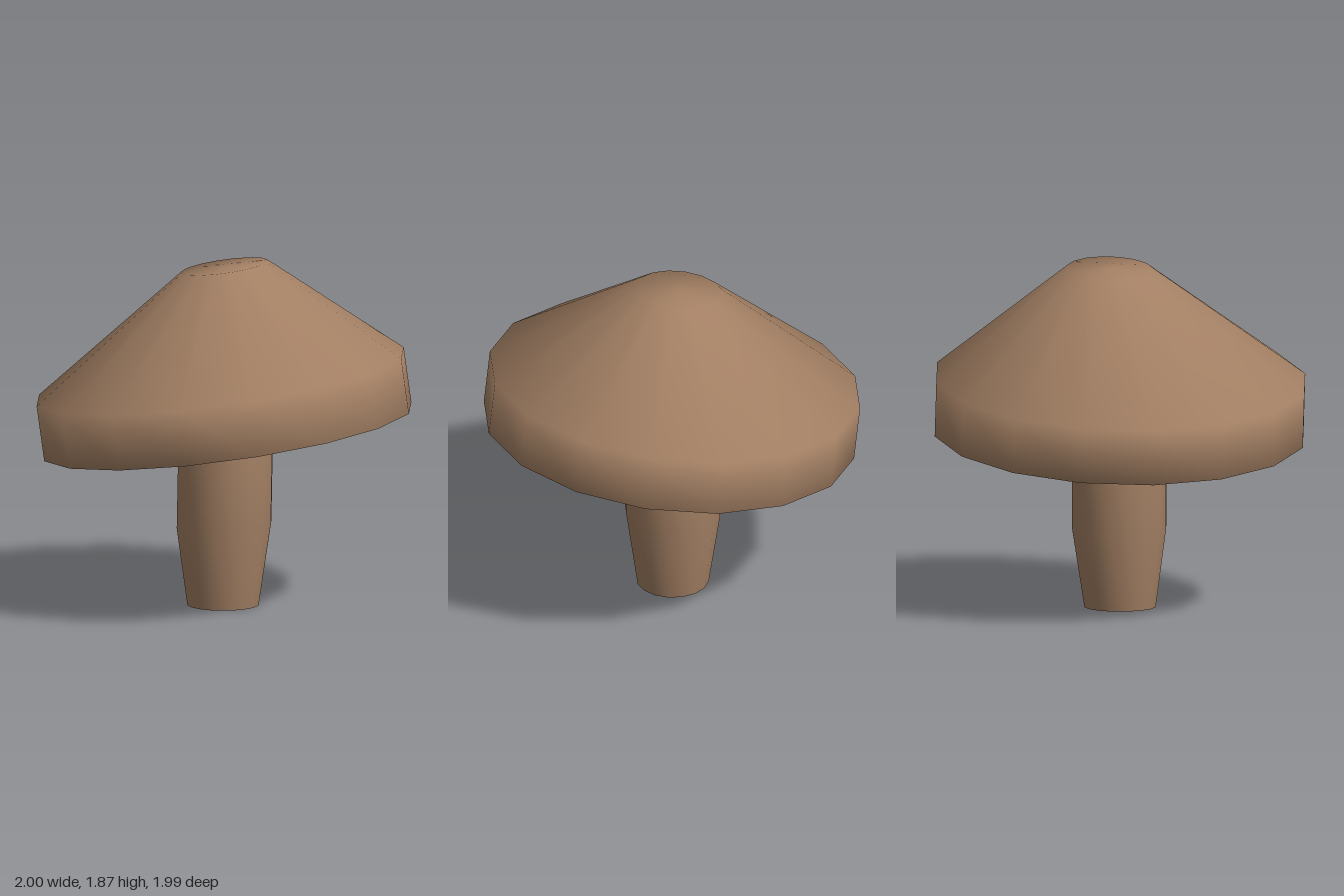
import * as THREE from 'three';

const SIDES = 16;

// Smooth skin over a list of rings: [centre x, centre y, centre z, radius, slope along x]
function loft(rings) {
  const pos = [], index = [];
  for (const [x, y, z, r, slope] of rings) {
    for (let j = 0; j < SIDES; j++) {
      const a = ((j + 0.5) / SIDES) * Math.PI * 2;
      const dx = r * Math.cos(a);
      pos.push(x + dx, y + dx * slope, z + r * Math.sin(a));
    }
  }
  for (let i = 0; i < rings.length - 1; i++) {
    for (let j = 0; j < SIDES; j++) {
      const k = (j + 1) % SIDES;
      const a = i * SIDES + j, b = i * SIDES + k;
      const c = a + SIDES, d = b + SIDES;
      index.push(a, c, d, a, d, b);
    }
  }
  const geo = new THREE.BufferGeometry();
  geo.setAttribute('position', new THREE.Float32BufferAttribute(pos, 3));
  geo.setIndex(index);
  geo.computeVertexNormals();
  return geo;
}

export function createModel() {
  const model = new THREE.Group();
  model.name = 'mushroom';
  const brown = new THREE.MeshStandardMaterial({ color: 0xa27f63 });

  const add = (name, geo, parent = model) => {
    const mesh = new THREE.Mesh(geo, brown);
    mesh.name = name;
    parent.add(mesh);
    return mesh;
  };

  // Stem: bulges in the middle, narrows into the cap
  add('stem', loft([
    [-0.01, 0, 0.005, 0.195, 0],
    [-0.007, 0.435, 0, 0.258, 0.06],
    [0.002, 0.88, 0, 0.258, 0.1],
    [-0.01, 1.42, 0, 0.175, 0.137],
  ]));

  // Flat foot of the stem, with a sharp edge
  const foot = add('stemFoot', new THREE.CircleGeometry(0.195, SIDES, Math.PI / SIDES));
  foot.rotation.x = Math.PI / 2;
  foot.position.set(-0.01, 0, 0.005);

  // Tilted cap: hollow underside, rolled lip, upright rim, cone and flat crown
  const cap = add('cap', loft([
    [0.04, 0.43, 0, 0.14, 0],
    [0, 0.04, 0, 0.92, 0],
    [0, 0, 0, 1.009, 0],
    [0, 0.3, 0, 1.009, 0],
    [0.081, 0.887, -0.077, 0.235, 0],
    [0.081, 0.89, -0.077, 0, 0],
  ]));
  cap.position.set(0.015, 0.945, 0);
  cap.rotation.set(0.03, 0, 0.136);

  return model;
}
